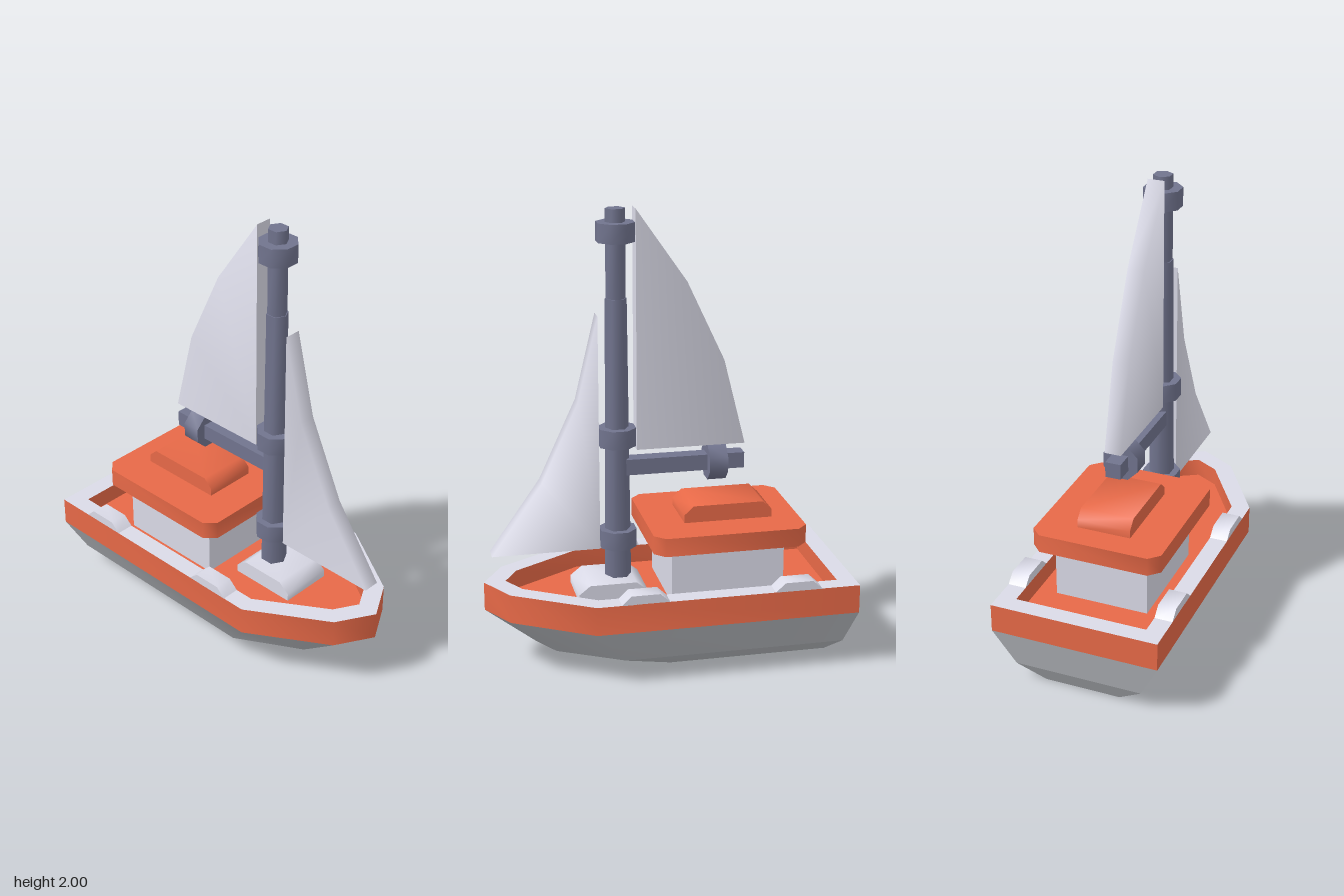
import * as THREE from 'three';
import { toCreasedNormals } from 'three/addons/utils/BufferGeometryUtils.js';

const mat = (name, color) => new THREE.MeshStandardMaterial({ name, color });

export function createModel() {
  const boat = new THREE.Group();
  boat.name = 'sailboat';
  const red = mat('redPaint', 0xe96a48);
  const light = mat('paleGrey', 0xdadae7);
  const grey = mat('hullGrey', 0xb6b9be);
  const dark = mat('slateSpar', 0x71748e);

  const add = (name, geometry, material, crease = 1.1) => {
    const mesh = new THREE.Mesh(toCreasedNormals(geometry, crease), material);
    mesh.name = name;
    boat.add(mesh);
    return mesh;
  };
  const toShape = pts => new THREE.Shape(pts.map(p => new THREE.Vector2(...p)));
  const fromCorners = corners => new THREE.BufferGeometry()
    .setAttribute('position', new THREE.Float32BufferAttribute(corners.flat(), 3));

  // Outline in x, z pulled vertically between two heights
  const slab = (pts, y0, y1, hole) => {
    const shape = toShape(pts);
    if (hole) shape.holes.push(toShape(hole));
    return new THREE.ExtrudeGeometry(shape, { depth: y1 - y0, bevelEnabled: false })
      .rotateX(Math.PI / 2).translate(0, y1, 0);
  };
  // Profile in z, y pulled across x
  const prism = (pts, width, x = 0) =>
    new THREE.ExtrudeGeometry(toShape(pts), { depth: width, bevelEnabled: false })
      .rotateY(-Math.PI / 2).translate(x + width / 2, 0, 0);
  // Block profile with both upper ends chamfered
  const chamfered = (z0, z1, y0, yEdge, y1, c) =>
    [[z0, y0], [z1, y0], [z1, yEdge], [z1 - c, y1], [z0 + c, y1], [z0, yEdge]];
  // Mirrored boat outline: stern, shoulder, cheek, stem
  const outline = (w, stern, shoulder, cheekX, cheekZ, stem) =>
    [[w, stern], [w, shoulder], [cheekX, cheekZ], [0, stem],
      [-cheekX, cheekZ], [-w, shoulder], [-w, stern]];

  // Lower hull: two strakes and a flat bottom, with hard edges between them
  const rim = outline(0.375, -0.797, 0.36, 0.165, 0.7, 0.795);
  const rings = [
    [0, outline(0.17, -0.71, 0.0, 0.075, 0.19, 0.24)],
    [0.085, outline(0.285, -0.757, 0.22, 0.125, 0.5, 0.575)],
    [0.255, rim],
  ].map(([y, pts]) => pts.map(([x, z]) => [x, y, z]));
  const strake = (lo, up) => fromCorners(lo.flatMap((p, i) => {
    const j = (i + 1) % lo.length;
    return [p, up[i], up[j], p, up[j], lo[j]];
  }));
  add('lowerStrake', strake(rings[0], rings[1]), grey);
  add('upperStrake', strake(rings[1], rings[2]), grey);
  add('hullBottom', fromCorners([1, 2, 3, 4, 5].flatMap(i =>
    [rings[0][0], rings[0][i], rings[0][i + 1]])), grey);

  // Bulwark with pale rim, and sunken deck
  const inner = outline(0.295, -0.717, 0.34, 0.105, 0.64, 0.7);
  add('bulwark', slab(rim, 0.255, 0.383, inner), [light, red]);
  add('deck', slab(inner, 0.255, 0.3), red);

  // Raised fairings on the rim
  for (const side of [-1, 1])
    for (const z of [0.15, -0.523])
      add('rimFairing', prism([[z - 0.105, 0.382], [z + 0.105, 0.382],
        [z + 0.062, 0.422], [z - 0.062, 0.422]], 0.08, side * 0.335), light);

  // Cabin, roof and hatches
  add('cabin', new THREE.BoxGeometry(0.42, 0.26, 0.5).translate(0, 0.425, -0.248), light);
  const roof = [[0.245, -0.585], [0.29, -0.54], [0.29, 0.045], [0.245, 0.09]];
  add('cabinRoof', slab([...roof, ...roof.map(([x, z]) => [-x, z]).reverse()], 0.552, 0.634), red);
  add('roofHatch', prism(chamfered(-0.465, -0.073, 0.63, 0.67, 0.708, 0.04), 0.24), red);
  add('mastStep', prism(chamfered(0.09, 0.395, 0.295, 0.335, 0.375, 0.05), 0.24), light);

  // Six-sided mast with a tapered lower length
  add('mastTop', new THREE.CylinderGeometry(0.043, 0.043, 0.42, 6).translate(0, 1.79, 0.2), dark);
  add('mastLower', new THREE.CylinderGeometry(0.047, 0.059, 1.32, 6).translate(0, 0.96, 0.2), dark);

  // Eight-sided collars on mast and boom
  const collar = () => new THREE.CylinderGeometry(0.0845, 0.0845, 0.082, 8, 1, false, Math.PI / 8);
  for (const y of [0.552, 1.014, 1.902]) add('mastCollar', collar().translate(0, y, 0.2), dark);
  add('boom', new THREE.BoxGeometry(0.07, 0.07, 0.54).translate(0, 0.877, -0.09), dark);
  add('boomCollar', collar().rotateX(Math.PI / 2).translate(0, 0.875, -0.236), dark);

  // Sails: soft skin rounding over the curved edge, flat luff and foot.
  // Points in z, y start at the square corner, anticlockwise from the left side.
  const sail = (name, pts) => {
    const w = 0.037;
    const at = (i, side) => [side * w, pts[i % pts.length][1], pts[i % pts.length][0]];
    const edge = i => [at(i, 1), at(i, -1), at(i + 1, -1), at(i, 1), at(i + 1, -1), at(i + 1, 1)];
    const skin = [];
    for (let i = 1; i < pts.length - 1; i++) {
      skin.push(at(0, 1), at(i, 1), at(i + 1, 1));
      skin.push(at(0, -1), at(i + 1, -1), at(i, -1));
      skin.push(...edge(i));
    }
    add(name, fromCorners(skin), light, 1.7);
    add(name + 'Edges', fromCorners([...edge(0), ...edge(pts.length - 1)]), light);
  };
  sail('mainSail', [[0.12, 0.956], [-0.36, 0.956], [-0.265, 1.335], [-0.1, 1.685], [0.12, 2.0]]);
  sail('jib', [[0.285, 0.513], [0.285, 1.553], [0.375, 1.18], [0.537, 0.83], [0.76, 0.513]]);

  return boat;
}
